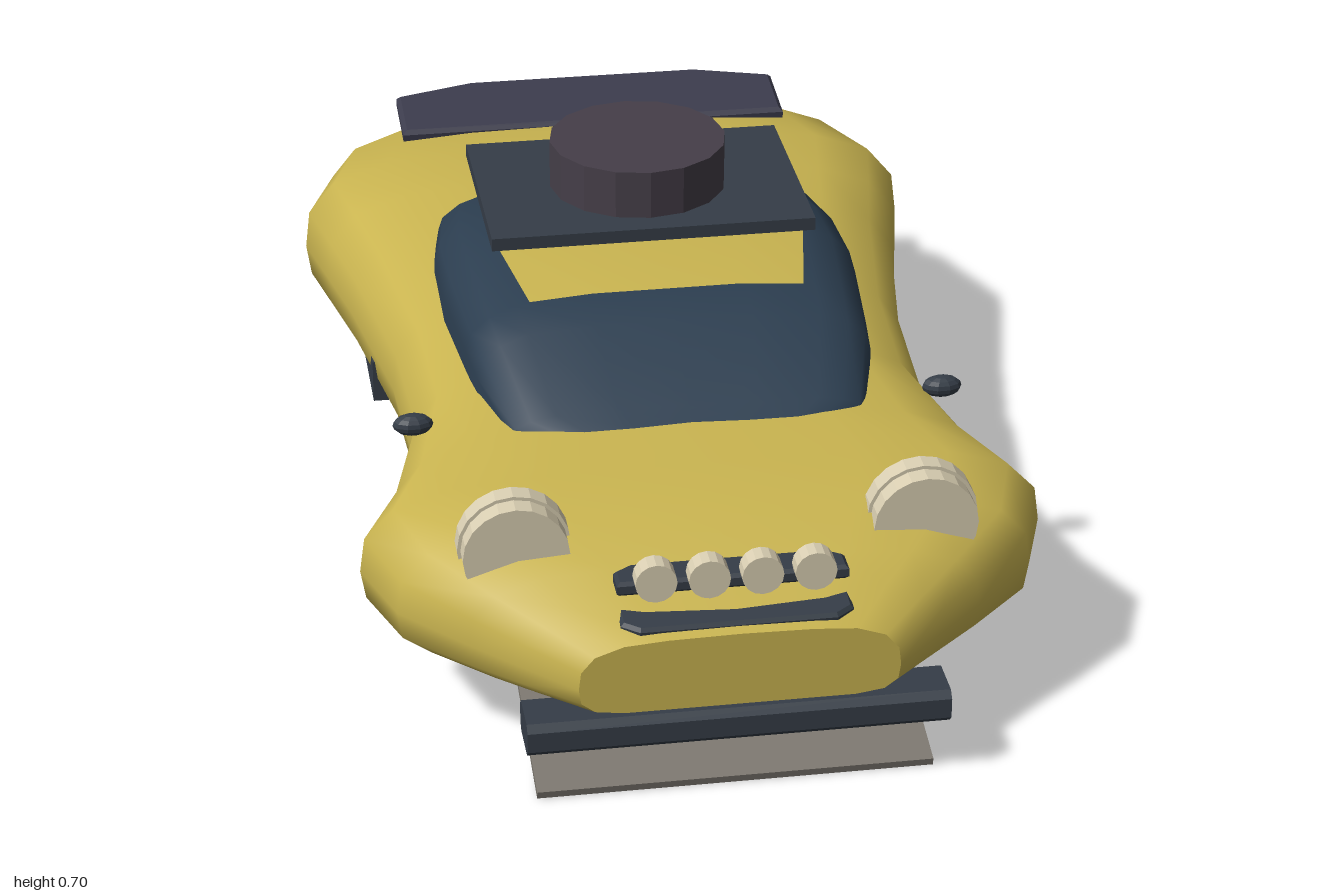
import * as THREE from 'three';
import { mergeGeometries } from 'three/addons/utils/BufferGeometryUtils.js';

const mat = (color, flatShading = false) =>
  new THREE.MeshStandardMaterial({ color, flatShading, side: THREE.DoubleSide });
const yellow = mat(0xc9b450), glass = mat(0x2c3e50), slate = mat(0x353d47, true);
const spoilerMat = mat(0x3c3c4d, true), drumMat = mat(0x453e48, true), red = mat(0x7d2420, true);
const cream = mat(0xd9ceb2, true), rubber = mat(0x2b272b, true), skid = mat(0x7d7870, true);

// Skin over rows of points: rows run from front to back, points from -x over the top to +x
function loft(rows) {
  const n = rows[0].length, index = [];
  for (let i = 0; i < rows.length - 1; i++)
    for (let j = 0; j < n - 1; j++) {
      const a = i * n + j, b = a + 1, c = a + n, d = c + 1;
      index.push(a, b, c, b, d, c);
    }
  const g = new THREE.BufferGeometry();
  g.setAttribute('position', new THREE.Float32BufferAttribute(rows.flat(2), 3));
  g.setIndex(index);
  g.computeVertexNormals();
  return g;
}

// Mirrors a half profile (bottom to top centre) into a full arch at depth z
function arch(profile, z, w, low, top) {
  const half = profile.map(([x, y]) => [-x * w, low + y * (top - low), z]);
  return [...half, ...half.slice(0, -1).reverse().map(([x, y, zz]) => [-x, y, zz])];
}

// Polygon outline extruded to a centred thickness
function plate(points, depth, bevel = 0) {
  const shape = new THREE.Shape(points.map(p => new THREE.Vector2(...p)));
  const g = new THREE.ExtrudeGeometry(shape, {
    depth: depth - 2 * bevel, bevelEnabled: bevel > 0, bevelSize: bevel,
    bevelThickness: bevel, bevelOffset: -bevel, bevelSegments: 1,
  });
  return g.translate(0, 0, bevel - depth / 2);
}

// Bar along x with chamfered long edges
function bar(width, height, depth, c = 0.012) {
  const h = height / 2, d = depth / 2;
  return plate([[-d + c, -h], [d - c, -h], [d, -h + c], [d, h - c], [d - c, h],
    [-d + c, h], [-d, h - c], [-d, -h + c]], width).rotateY(Math.PI / 2);
}

export function createModel() {
  const group = new THREE.Group();
  const add = (name, geo, material, x = 0, y = 0, z = 0) => {
    const m = new THREE.Mesh(geo, material);
    m.name = name;
    m.position.set(x, y, z);
    group.add(m);
    return m;
  };

  // Body shell: z, half width, bottom, top
  const hull = [
    [0.99, 0.27, 0.18, 0.315], [0.91, 0.36, 0.172, 0.345], [0.85, 0.435, 0.17, 0.375],
    [0.75, 0.545, 0.167, 0.415], [0.61, 0.595, 0.165, 0.428], [0.47, 0.525, 0.17, 0.438],
    [0.25, 0.468, 0.175, 0.452], [0, 0.48, 0.183, 0.465], [-0.3, 0.53, 0.188, 0.482],
    [-0.45, 0.563, 0.19, 0.49], [-0.6, 0.595, 0.19, 0.492], [-0.8, 0.53, 0.19, 0.468],
    [-0.95, 0.43, 0.19, 0.41], [-1, 0.34, 0.19, 0.375],
  ];
  const profile = [[0.72, 0], [0.9, 0.05], [0.985, 0.18], [1, 0.38], [0.985, 0.62],
    [0.9, 0.82], [0.72, 0.945], [0.45, 0.985], [0, 1]];
  const rings = hull.map(([z, w, b, t]) => arch(profile, z, w, b, t));
  const floor = rings.map(r => [r[r.length - 1], r[0]]);
  const closed = r => [...r, r[0]];
  const centre = r => closed(r).map(() => [0, 0.26, r[0][2]]);
  const nose = rings[0], tail = rings[rings.length - 1];
  add('body', mergeGeometries([loft(rings), loft(floor),
    loft([centre(nose), closed(nose)]), loft([closed(tail), centre(tail)])]), yellow);

  // Cabin glass: z, half width, top
  const cabin = [[0.485, 0.25, 0.435], [0.45, 0.315, 0.455], [0.3, 0.355, 0.545],
    [0.21, 0.365, 0.56], [0.02, 0.383, 0.584], [-0.15, 0.383, 0.566], [-0.3, 0.362, 0.542],
    [-0.41, 0.3, 0.495]];
  const dome = [[1, 0], [1, 0.45], [0.97, 0.66], [0.88, 0.83], [0.74, 0.95], [0.4, 1], [0, 1]];
  add('cabinGlass', loft(cabin.map(([z, w, t]) => arch(dome, z, w, 0.39, t))), glass);

  // Painted roof skin running down to the tail
  const roof = [[0.21, 0.335, 0.56], ...cabin.slice(4, 7), [-0.41, 0.345, 0.495]];
  add('roof', loft(roof.map(([z, w, t]) => arch(dome.slice(4), z, w, 0.395, t + 0.004))), yellow);

  // Roof platform and drum
  add('roofPlatform', new THREE.BoxGeometry(0.595, 0.024, 0.42), slate, 0, 0.602, -0.145);
  add('roofDrum', new THREE.CylinderGeometry(0.164, 0.164, 0.09, 16), drumMat, 0, 0.659, -0.145);

  // Rear spoiler with clipped rear corners
  const wing = plate([[-0.385, -0.095], [0.385, -0.095], [0.385, 0.05], [0.23, 0.09],
    [-0.23, 0.09], [-0.385, 0.05]], 0.03, 0.008).rotateX(-Math.PI / 2);
  add('spoiler', wing, spoilerMat, 0, 0.481, -0.815).rotation.x = 0.12;

  // Tail light strip, taller at its ends
  const strip = plate([[-0.365, -0.03], [-0.3, -0.028], [-0.15, -0.016], [0.15, -0.016],
    [0.3, -0.028], [0.365, -0.03], [0.365, 0.03], [0.3, 0.022], [0.15, 0.016],
    [-0.15, 0.016], [-0.3, 0.022], [-0.365, 0.03]], 0.025);
  add('tailLight', strip, red, 0, 0.382, -0.966).rotation.x = 0.4;

  // Bumpers and underbody crossbar
  add('frontBumper', bar(0.714, 0.06, 0.1), slate, 0, 0.142, 0.95);
  add('rearBumper', bar(0.62, 0.056, 0.09), slate, 0, 0.127, -0.94);
  add('crossbar', bar(0.91, 0.044, 0.08), slate, 0, 0.182, 0.105);

  // Sloping skid plate
  add('skidPlate', new THREE.BoxGeometry(0.676, 0.014, 0.342), skid, 0, 0.052, 0.795)
    .rotation.x = 0.23;

  // Light shelf and grille, both with clipped corners
  const shelf = s => plate([[-0.195, -0.032 * s], [0.195, -0.032 * s], [0.195, 0.012 * s],
    [0.165, 0.032 * s], [-0.165, 0.032 * s], [-0.195, 0.012 * s]], 0.026, 0.006)
    .rotateX(-Math.PI / 2);
  add('lightShelf', shelf(1), slate, 0, 0.368, 0.88);
  add('grille', shelf(-1), slate, 0, 0.32, 0.942).rotation.x = 0.15;

  // Row of small lamps
  const disc = (r, depth, n) => new THREE.CylinderGeometry(r, r, depth, n).rotateX(Math.PI / 2);
  for (let i = 0; i < 4; i++)
    add('spotLamp', disc(0.035, 0.035, 16), cream, -0.1335 + i * 0.089, 0.393, 0.924);

  // Paired parts
  const skirt = [[0.145, 0.19], [0.455, 0.195], [0.455, 0.21], [0.25, 0.24], [0.21, 0.272],
    [0.145, 0.272]];
  for (const s of [-1, 1]) {
    add('headlampRim', disc(0.096, 0.035, 20), cream, s * 0.348, 0.386, 0.757);
    add('headlampLens', disc(0.09, 0.035, 20), cream, s * 0.348, 0.386, 0.792);
    add('mirror', new THREE.SphereGeometry(1, 10, 8).scale(0.036, 0.02, 0.022), slate,
      s * 0.475, 0.405, 0.355);
    add('mudFlap', new THREE.BoxGeometry(0.15, 0.147, 0.01), rubber, s * 0.385, 0.082, -0.83);
    add('sideSkirt', plate(skirt, 0.075).rotateY(Math.PI / 2), slate, s * 0.468, 0, 0);
  }
  return group;
}
